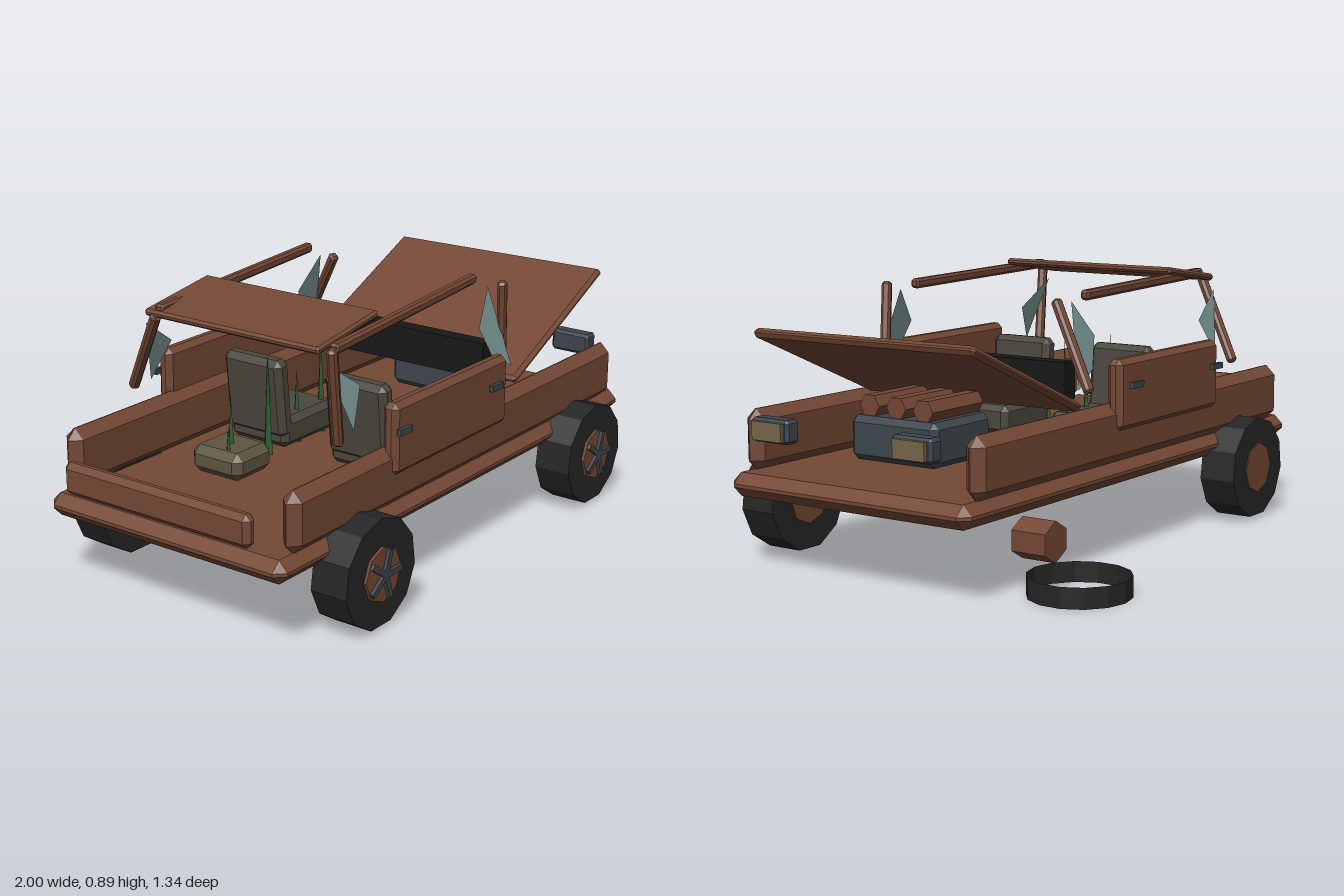
import * as THREE from 'three';
import { ConvexGeometry } from 'three/addons/geometries/ConvexGeometry.js';

const mat = (name, color, extra = {}) => {
  const m = new THREE.MeshStandardMaterial({ color, flatShading: true, ...extra });
  m.name = name;
  return m;
};

// Box with all twelve edges chamfered by c
function chamferBox(w, h, d, c) {
  const pts = [];
  for (const sx of [-1, 1]) for (const sy of [-1, 1]) for (const sz of [-1, 1]) {
    const x = w / 2, y = h / 2, z = d / 2;
    pts.push(new THREE.Vector3(sx * x, sy * (y - c), sz * (z - c)));
    pts.push(new THREE.Vector3(sx * (x - c), sy * y, sz * (z - c)));
    pts.push(new THREE.Vector3(sx * (x - c), sy * (y - c), sz * z));
  }
  return new ConvexGeometry(pts);
}

export function createModel() {
  const rust = mat('rust', 0x744835);
  const rubber = mat('rubber', 0x262626, { side: THREE.DoubleSide });
  const black = mat('black trim', 0x181818);
  const steel = mat('dark steel', 0x3e464c);
  const glass = mat('broken glass', 0x7d9a98, { side: THREE.DoubleSide });
  const lens = mat('lamp lens', 0x75664a);
  const fabric = mat('seat fabric', 0x4a473e);
  const moss = mat('old cushion', 0x5e5540);
  const green = mat('weed green', 0x2c5c2e);

  const model = new THREE.Group();
  const body = new THREE.Group(); // centred on the car's own axis
  body.name = 'body';
  body.position.z = 0.1;
  model.add(body);

  const add = (parent, name, geo, m, x = 0, y = 0, z = 0) => {
    const mesh = new THREE.Mesh(geo, m);
    mesh.name = name;
    mesh.position.set(x, y, z);
    parent.add(mesh);
    return mesh;
  };
  const beam = (name, a, b, t) => {
    const p = new THREE.Vector3(...a), q = new THREE.Vector3(...b);
    const mesh = add(body, name, chamferBox(t, t, p.distanceTo(q) + t * 0.6, t * 0.25), rust);
    mesh.position.copy(p).lerp(q, 0.5);
    mesh.lookAt(q.clone().sub(p).add(mesh.position));
    return mesh;
  };

  // Floor and body walls
  add(body, 'floor', chamferBox(1.95, 0.075, 0.92, 0.032), rust, 0, 0.272, 0);
  add(body, 'tailgate', chamferBox(0.05, 0.105, 0.72, 0.018), rust, -0.975, 0.388, 0);
  for (const s of [-1, 1]) {
    add(body, 'sidePanel', chamferBox(1.815, 0.195, 0.07, 0.033), rust, 0, 0.402, s * 0.425);
    add(body, 'door', chamferBox(0.625, 0.23, 0.055, 0.018), rust, -0.128, 0.525, s * 0.447);
    for (const x of [-0.408, 0.1])
      add(body, 'doorHandle', new THREE.BoxGeometry(0.062, 0.02, 0.014), steel, x, 0.555, s * 0.484);
  }

  // Cabin frame leaning inwards, with glass shards left in the corners
  const lean = y => 0.335 + (0.845 - y) * 0.24;
  const shards = [
    [[-0.62, 0.79], [-0.48, 0.695], [-0.55, 0.575]],
    [[0.26, 0.825], [0.17, 0.71], [0.215, 0.61], [0.315, 0.555]],
  ];
  for (const s of [-1, 1]) {
    beam('rearPillar', [-0.638, 0.835, s * 0.337], [-0.572, 0.54, s * lean(0.54)], 0.032);
    beam('frontPillar', [0.273, 0.835, s * 0.337], [0.328, 0.545, s * lean(0.545)], 0.032);
    beam('roofRail', [-0.625, 0.845, s * 0.335], [0.25, 0.845, s * 0.335], 0.032);
    for (const pts of shards) {
      const g = new THREE.BufferGeometry();
      g.setAttribute('position', new THREE.Float32BufferAttribute(
        pts.flatMap(([x, y]) => [x, y, s * lean(y)]), 3));
      g.setIndex(pts.length === 3 ? [0, 1, 2] : [0, 1, 2, 0, 2, 3]);
      g.computeVertexNormals();
      add(body, 'glassShard', g, glass);
    }
  }
  const roof = add(body, 'tornRoof', chamferBox(0.305, 0.024, 0.675, 0.008), rust, -0.49, 0.852, 0);
  roof.rotation.z = 0.15;

  // Open hood, slightly askew on its hinges
  const hood = add(body, 'hood', chamferBox(0.635, 0.03, 0.825, 0.012), rust, 0.605, 0.622, -0.005);
  hood.rotation.set(0, 0.03, 0.4, 'YZX');

  // Engine
  add(body, 'engineBlock', chamferBox(0.29, 0.14, 0.335, 0.02), steel, 0.59, 0.415, 0);
  for (const z of [-0.104, 0, 0.104])
    add(body, 'engineCylinder', new THREE.CylinderGeometry(0.038, 0.038, 0.255, 6).rotateZ(Math.PI / 2),
      rust, 0.583, 0.515, z);

  // Headlamps
  for (const s of [-1, 1]) {
    add(body, 'headlamp', chamferBox(0.058, 0.075, 0.148, 0.01), steel, 0.954, 0.458, s * 0.272);
    add(body, 'headlampLens', new THREE.BoxGeometry(0.014, 0.058, 0.116), lens, 0.988, 0.458, s * 0.272);
  }

  // Dashboard and seats
  add(body, 'dashboard', new THREE.BoxGeometry(0.055, 0.12, 0.68), black, 0.267, 0.575, 0);
  for (const s of [-1, 1]) {
    add(body, 'seatCushion', chamferBox(0.28, 0.1, 0.235, 0.02), fabric, -0.12, 0.37, s * 0.205);
    const back = add(body, 'seatBack', chamferBox(0.065, 0.27, 0.235, 0.02), fabric, -0.25, 0.49, s * 0.205);
    back.rotation.z = 0.1;
  }
  add(body, 'looseCushion', chamferBox(0.18, 0.09, 0.2, 0.025), moss, -0.48, 0.355, -0.13);

  // Weeds growing through the floor: x, z, tip height
  for (const [x, z, tip] of [[-0.48, -0.13, 0.56], [-0.53, -0.1, 0.48], [-0.295, -0.13, 0.655],
    [-0.145, -0.13, 0.56], [-0.015, -0.13, 0.66], [0.08, -0.13, 0.52]]) {
    const h = tip - 0.3;
    add(body, 'weed', new THREE.ConeGeometry(0.018, h, 4), green, x, 0.3 + h / 2, z);
  }

  // Three mounted wheels
  for (const [x, z] of [[-0.61, 0.582], [0.645, 0.582], [-0.61, -0.375]]) {
    const wheel = new THREE.Group();
    wheel.name = 'wheel';
    wheel.position.set(x, 0.18, z);
    model.add(wheel);
    add(wheel, 'tyre', new THREE.CylinderGeometry(0.175, 0.175, 0.128, 11).rotateX(-Math.PI / 2), rubber);
    add(wheel, 'rim', new THREE.CylinderGeometry(0.088, 0.088, 0.141, 8).rotateX(-Math.PI / 2), rust, 0, 0, 0.003);
    for (let i = 0; i < 5; i++) {
      const spoke = add(wheel, 'spoke', new THREE.BoxGeometry(0.08, 0.018, 0.02).translate(0.04, 0, 0),
        steel, 0, 0, 0.075);
      spoke.rotation.z = i * Math.PI * 0.4;
    }
  }

  // Bare hub, with its tyre lying on the ground
  add(model, 'bareHub', new THREE.CylinderGeometry(0.064, 0.064, 0.12, 6).rotateX(Math.PI / 2),
    rust, 0.65, 0.16, -0.387);
  add(model, 'fallenTyre', new THREE.CylinderGeometry(0.16, 0.16, 0.065, 14, 1, true),
    rubber, 0.615, 0.0325, -0.508);

  return model;
}
